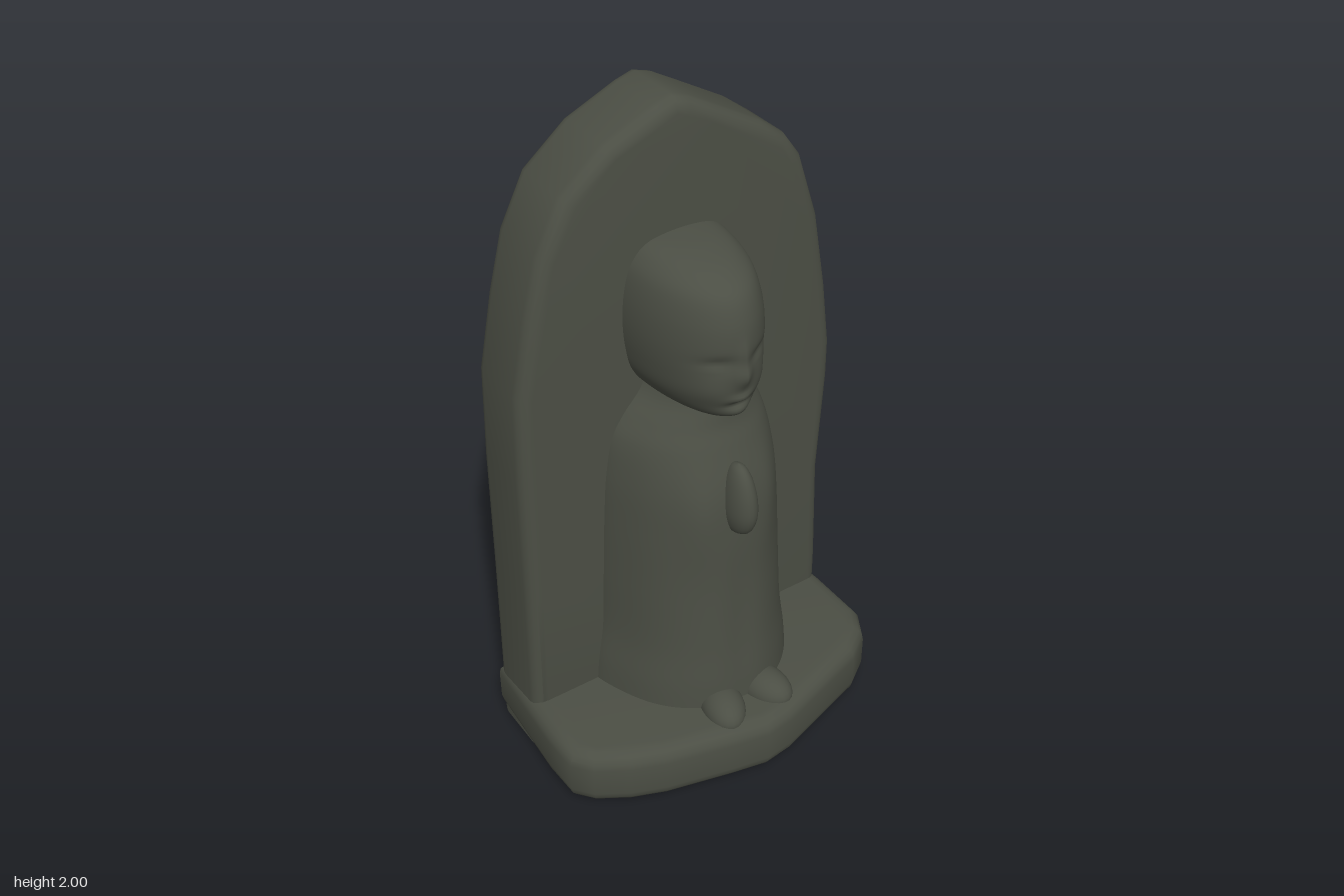
import * as THREE from 'three';
import { toCreasedNormals } from 'three/addons/utils/BufferGeometryUtils.js';

const stone = new THREE.MeshStandardMaterial({ color: 0x4b4e44 });
stone.name = 'dark grey stone';

const BACK = -0.13; // relief sections start just inside the slab face

function part(name, geometry) {
  const mesh = new THREE.Mesh(geometry, stone);
  mesh.name = name;
  return mesh;
}

// Outline extruded with worn, rounded edges
function roundedPlate(points, thickness, bevel) {
  const shape = new THREE.Shape(points.map(([x, y]) => new THREE.Vector2(x, y)));
  const geo = new THREE.ExtrudeGeometry(shape, {
    depth: thickness - 2 * bevel,
    bevelThickness: bevel, bevelSize: bevel, bevelOffset: -bevel, bevelSegments: 4,
  });
  geo.translate(0, 0, bevel);
  return toCreasedNormals(geo, 0.7);
}

// Half-round relief: rows of [half width, height, front z], smoothed upwards
function relief(rows, centreX, steps, shapeVertex) {
  const curve = new THREE.CatmullRomCurve3(
    rows.map((r) => new THREE.Vector3(...r)), false, 'centripetal');
  const around = 40;
  const positions = [];
  const index = [];
  curve.getPoints(steps).forEach((row, i) => {
    for (let j = 0; j <= around; j++) {
      const a = (j / around) * Math.PI;
      const v = new THREE.Vector3(
        row.x * Math.cos(a), row.y, BACK + (row.z - BACK) * Math.sin(a));
      if (shapeVertex) shapeVertex(v, a);
      positions.push(v.x + centreX, v.y, v.z);
      if (i < steps && j < around) {
        const p = i * (around + 1) + j;
        const q = p + around + 1;
        index.push(p + 1, p, q, p + 1, q, q + 1);
      }
    }
  });
  const geo = new THREE.BufferGeometry();
  geo.setAttribute('position', new THREE.Float32BufferAttribute(positions, 3));
  geo.setIndex(index);
  geo.computeVertexNormals();
  return geo;
}

const bump = (x, y, cx, cy, sx, sy) =>
  Math.exp(-(((x - cx) / sx) ** 2) - ((y - cy) / sy) ** 2);

// Nose, brow, eye hollows, closed lids, lips and cheeks
function carveFace(v, a) {
  const x = Math.abs(v.x);
  const y = v.y;
  const d = 0.02 * bump(x, y, 0, 1.345, 0.022, 0.035)
    + 0.008 * bump(x, y, 0, 1.41, 0.016, 0.04)
    - 0.016 * bump(x, y, 0.065, 1.385, 0.04, 0.022)
    + 0.007 * bump(x, y, 0.07, 1.375, 0.03, 0.012)
    + 0.01 * bump(x, y, 0.09, 1.3, 0.045, 0.045)
    + 0.012 * bump(x, y, 0, 1.275, 0.032, 0.012)
    - 0.01 * bump(x, y, 0, 1.25, 0.04, 0.01)
    + 0.008 * bump(x, y, 0, 1.22, 0.04, 0.018);
  v.z += d * Math.sin(a);
}

// Hem flares into the slab; sleeves fall in soft folds
function drapeRobe(v, a) {
  const edge = Math.abs(Math.cos(a));
  v.x *= 1 + 0.05 * edge ** 30;
  const x = Math.abs(v.x);
  v.z += 0.012 * bump(x, v.y, 0.12, 0.88, 0.05, 0.14)
    - 0.01 * bump(x, v.y, 0, 0.45, 0.05, 0.3);
}

export function createModel() {
  const group = new THREE.Group();
  group.name = 'carvedStoneMarker';

  // Upright slab with an uneven pointed top
  const slab = roundedPlate([
    [-0.52, 0.01], [0.52, 0.01], [0.52, 0.3], [0.51, 0.65], [0.53, 0.98],
    [0.53, 1.1], [0.505, 1.3], [0.465, 1.53], [0.4, 1.73], [0.35, 1.8],
    [0.27, 1.86], [0.13, 1.94], [0.05, 1.985], [0, 2], [-0.05, 1.985],
    [-0.2, 1.92], [-0.33, 1.815], [-0.405, 1.67], [-0.45, 1.5], [-0.495, 1.28],
    [-0.505, 1.0], [-0.51, 0.6],
  ], 0.235, 0.04);
  slab.translate(0, 0, -0.335);
  group.add(part('backSlab', slab));

  // Base with a blunt, bowed front
  const base = roundedPlate([
    [-0.52, -0.33], [0.52, -0.33], [0.535, -0.1], [0.535, 0.1], [0.49, 0.18],
    [0.41, 0.235], [0.25, 0.285], [0.1, 0.332], [0.01, 0.343], [-0.1, 0.32],
    [-0.3, 0.27], [-0.4, 0.23], [-0.49, 0.175], [-0.535, 0.12], [-0.54, 0],
  ], 0.195, 0.05);
  base.rotateX(Math.PI / 2).translate(0, 0.2, 0);
  group.add(part('base', base));

  // Robed body
  group.add(part('robe', relief([
    [0.31, 0.16, 0.215], [0.3, 0.27, 0.21], [0.282, 0.4, 0.2], [0.272, 0.6, 0.188],
    [0.262, 0.8, 0.18], [0.25, 0.95, 0.165], [0.226, 1.07, 0.13],
    [0.19, 1.13, 0.11], [0.14, 1.19, 0.1], [0.11, 1.26, 0.08],
  ], 0.013, 60, drapeRobe)));

  // Head
  group.add(part('head', relief([
    [0.02, 1.175, 0.02], [0.075, 1.185, 0.11], [0.125, 1.215, 0.165],
    [0.16, 1.27, 0.182], [0.176, 1.34, 0.19], [0.182, 1.42, 0.193],
    [0.176, 1.5, 0.184], [0.16, 1.565, 0.155], [0.135, 1.605, 0.095],
    [0.1, 1.63, 0.01], [0.05, 1.64, -0.07], [0.005, 1.643, -0.12],
  ], 0.003, 90, carveFace)));

  // Joined hands, pointed at the fingertips
  const handProfile = new THREE.SplineCurve([
    [0.001, 0.81], [0.03, 0.83], [0.044, 0.88], [0.043, 0.94],
    [0.033, 0.995], [0.018, 1.03], [0.001, 1.042],
  ].map(([r, y]) => new THREE.Vector2(r, y))).getPoints(24);
  const hands = new THREE.LatheGeometry(handProfile, 24);
  hands.scale(1, 1, 1.6).translate(0.012, 0, 0.162);
  group.add(part('joinedHands', hands));

  // Toes showing below the hem
  for (const side of [-1, 1]) {
    const foot = new THREE.SphereGeometry(1, 24, 16);
    foot.scale(0.065, 0.06, 0.1).rotateY(side * 0.25);
    foot.translate(0.015 + side * 0.075, 0.195, 0.2);
    group.add(part(side > 0 ? 'leftFoot' : 'rightFoot', foot));
  }

  return group;
}
